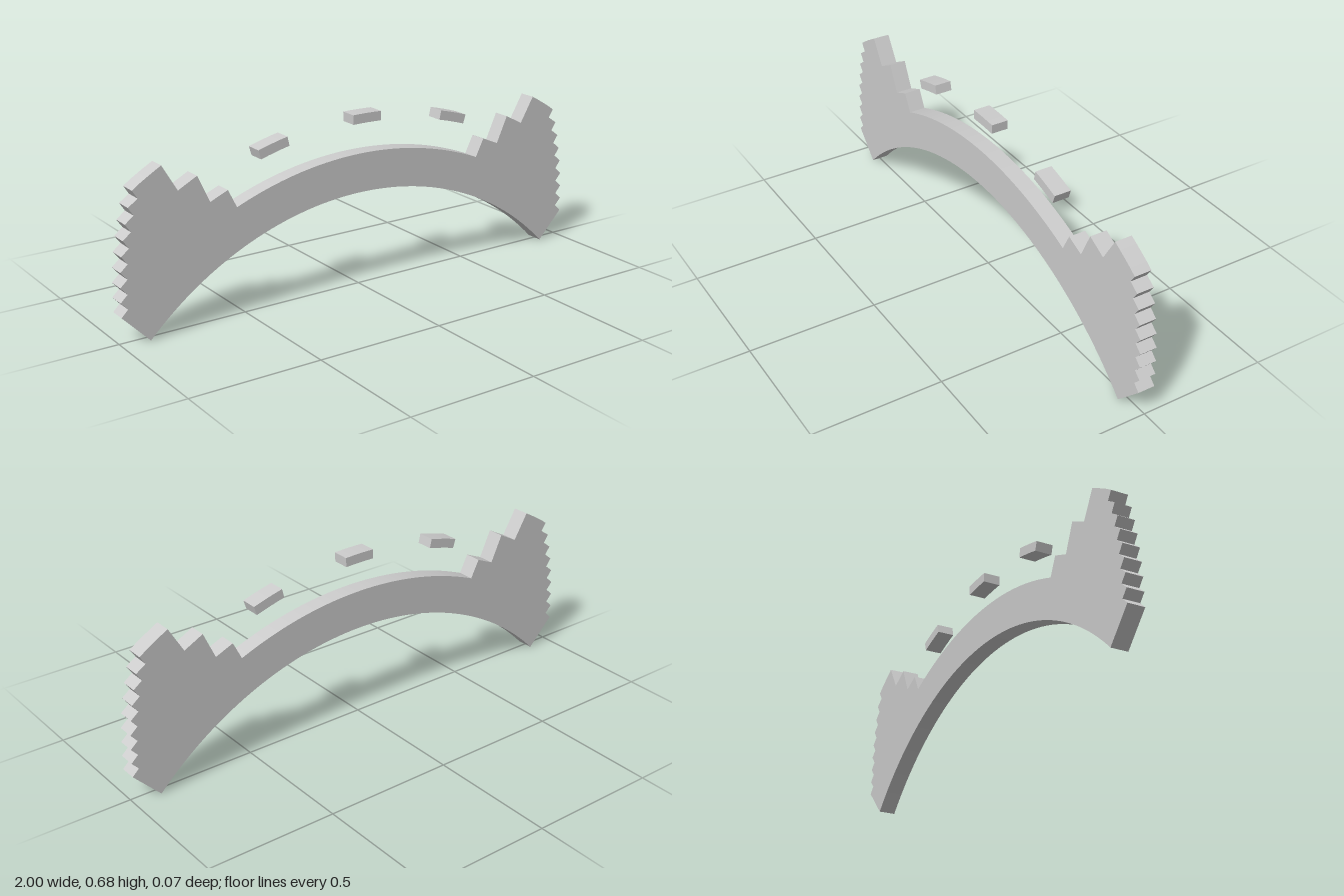
import * as THREE from 'three';

const CY = -0.88;      // height of the common arc centre
const DEPTH = 0.066;

// Points on an arc about the common centre, angles measured from vertical towards +x
function arc(radius, from, to, steps) {
  return Array.from({ length: steps + 1 }, (_, i) => {
    const a = from + (to - from) * i / steps;
    return new THREE.Vector2(radius * Math.sin(a), CY + radius * Math.cos(a));
  });
}

function plate(name, points, material) {
  const geometry = new THREE.ExtrudeGeometry(new THREE.Shape(points), { depth: DEPTH, bevelEnabled: false });
  geometry.translate(0, 0, -DEPTH / 2);
  const mesh = new THREE.Mesh(geometry, material);
  mesh.name = name;
  return mesh;
}

export function createModel() {
  const group = new THREE.Group();
  group.name = 'steppedArch';
  const material = new THREE.MeshStandardMaterial({ color: 0xcccccc });

  // Right-hand end outline: foot, serrated outer edge, then steps down to the arch
  const tips = [1, 1, 0.998, 0.995, 0.989, 0.98, 0.969, 0.955, 0.937];
  const notches = [0.974, 0.973, 0.97, 0.966, 0.958, 0.948, 0.935, 0.917];
  const end = [];
  tips.forEach((x, i) => {
    const y = 0.109 + 0.0537 * i + 0.0002 * i * i;
    end.push(new THREE.Vector2(x, y));
    if (i < notches.length) end.push(new THREE.Vector2(notches[i], y + 0.0255));
  });
  end.push(...arc(1.712, 0.5797, 0.503, 4).slice(1));
  for (const [x, y] of [[0.767, 0.521], [0.692, 0.56], [0.645, 0.457], [0.574, 0.487]]) {
    end.push(new THREE.Vector2(x, y));
  }
  const mirrored = end.map(p => new THREE.Vector2(-p.x, p.y)).reverse();

  // Arch body: inner curve, right end, upper curve, left end
  const half = Math.atan2(0.895, -CY);
  const inner = arc(1.255, -half, half, 64);
  const upper = arc(1.405, 0.394, -0.394, 40);
  group.add(plate('archBody', [...inner, ...end, ...upper, ...mirrored], material));

  // Three loose curved blocks above the arch
  const names = ['rightBlock', 'middleBlock', 'leftBlock'];
  names.forEach((name, i) => {
    const a = 0.0113 + (i - 1) * 0.2635;
    const points = [...arc(1.519, a - 0.04, a + 0.04, 4), ...arc(1.555, a + 0.04, a - 0.04, 4)];
    group.add(plate(name, points, material));
  });
  return group;
}
